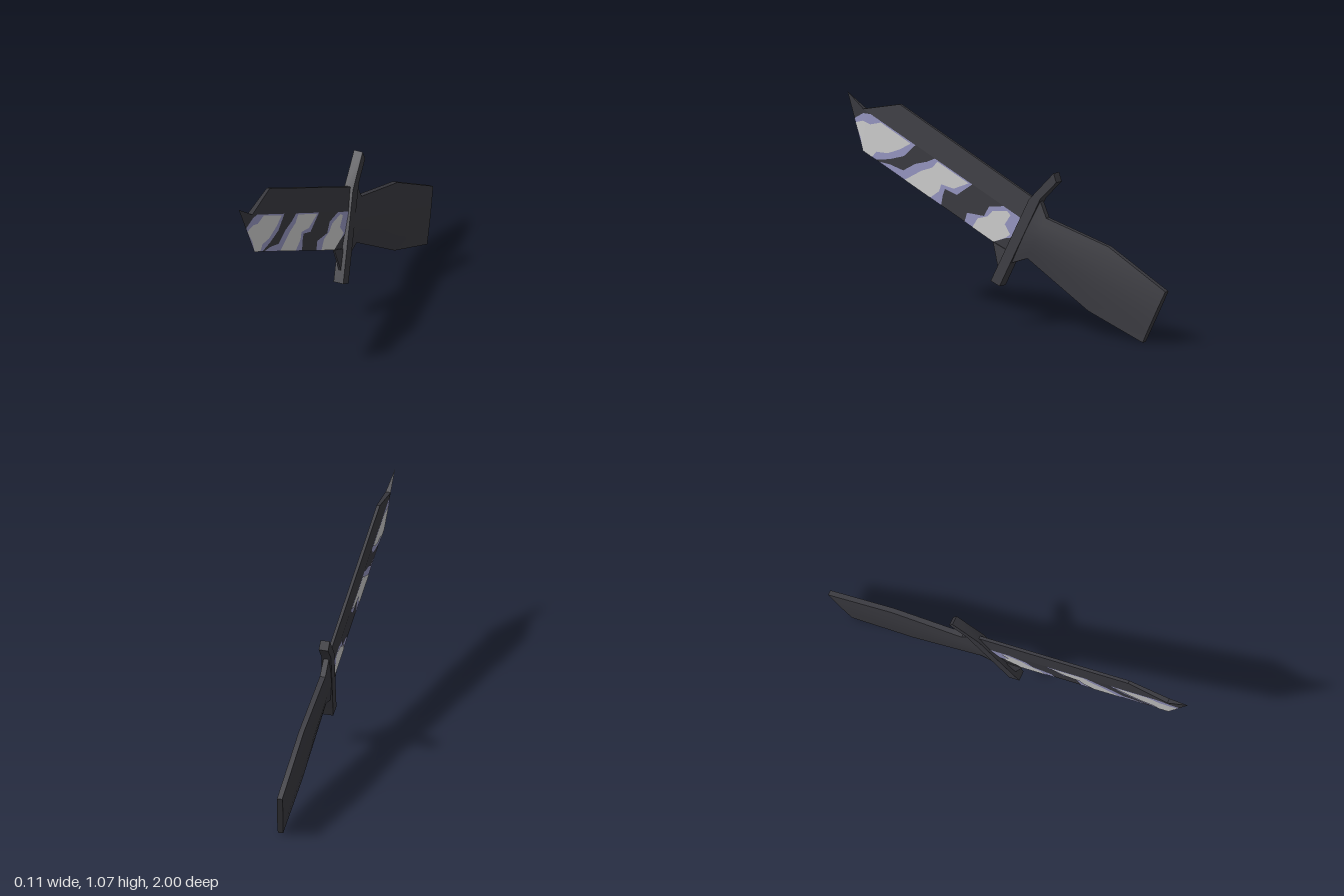
import * as THREE from 'three';
import { toCreasedNormals } from 'three/addons/utils/BufferGeometryUtils.js';

const material = (name, color) => {
  const m = new THREE.MeshStandardMaterial({ color });
  m.name = name;
  return m;
};

// The knife leans slightly sideways: x offset of its middle plane
const lean = (z, y) => 0.049 - 0.1 * y + 0.0102 * z;
const flat = (pts) => pts.map(([z, y]) => new THREE.Vector2(-z, y));

// Symmetric solid: faces are polygons of [z, y, halfThickness], repeated on both sides;
// the outline closes the rim between them.
function slab(name, mat, faces, outline = [], crease = 0.5) {
  const pos = [];
  const add = (side, [z, y, h]) => pos.push(lean(z, y) + side * h, y, z);
  for (const face of faces) {
    const f2 = flat(face);
    for (const tri of THREE.ShapeUtils.triangulateShape(f2, [])) {
      const ccw = THREE.ShapeUtils.area(tri.map((i) => f2[i])) > 0;
      const [a, b, c] = (ccw ? tri : [...tri].reverse()).map((i) => face[i]);
      [a, b, c].forEach((p) => add(1, p));
      [c, b, a].forEach((p) => add(-1, p));
    }
  }
  const rim = [...outline];
  if (rim.length && THREE.ShapeUtils.area(flat(rim)) < 0) rim.reverse();
  rim.forEach((a, i) => {
    const b = rim[(i + 1) % rim.length];
    if (a[2] > 0) { add(1, a); add(-1, a); add(-1, b); }
    if (b[2] > 0) { add(1, a); add(-1, b); add(1, b); }
  });
  const geo = new THREE.BufferGeometry();
  geo.setAttribute('position', new THREE.Float32BufferAttribute(pos, 3));
  geo.computeVertexNormals();
  const mesh = new THREE.Mesh(toCreasedNormals(geo, crease), mat);
  mesh.name = name;
  return mesh;
}

const mix = (a, b, t) => a.map((v, i) => v + (b[i] - v) * t);

// Cutting bevel: u runs from guard to point, v from cutting edge to ridge
const EDGE = [[0.066, 0.41, 0], [0.885, 0.785, 0]];
const RIDGE = [[-0.05, 0.57, 0.013], [0.89, 0.995, 0.013]];
const bevel = (u, v) => mix(mix(...EDGE, u), mix(...RIDGE, u), v);
const lift = (pts, d) => pts.map(([z, y, h]) => [z, y, h + d]);

export function createModel() {
  const dark = material('charcoal', 0x38383e);
  const lilac = material('lilac', 0x9292bc);
  const grey = material('pale grey', 0xc8c8c8);
  const knife = new THREE.Group();
  knife.name = 'knife';

  // Blade: cutting bevel, clipped point and back bevel
  const heel = bevel(-0.12, 0), heelRidge = bevel(-0.12, 1);
  const corner = EDGE[1], notch = RIDGE[1];
  const tip = [1, 1.07, 0];
  const spineBack = [-0.17, 0.65, 0.008], spineFront = [0.675, 1.038, 0.008];
  knife.add(slab('blade', dark, [
    [heel, corner, notch, heelRidge],
    [corner, tip, notch],
    [heelRidge, notch, spineFront, spineBack],
  ], [heel, corner, tip, notch, spineFront, spineBack, heelRidge], 0.1));

  // Blunt heel below the cutting edge
  const heelPlate = [[0.066, 0.41, 0.004], [0.02, 0.27, 0.006], [-0.04, 0.33, 0.008], [-0.04, 0.37, 0.006]];
  knife.add(slab('bladeHeel', dark, [heelPlate], heelPlate));

  // Camouflage patches as thin plates: lilac borders beneath pale centres
  const lilacPatches = [
    [[0, 0], [0.22, 0], [0.23, 0.25], [0.13, 0.45], [0.13, 0.75], [0.06, 1], [-0.09, 1], [-0.09, 0.45], [-0.05, 0.28]],
    [[0.4, 0], [0.88, 0], [0.8, 0.12], [0.7, 0.2], [0.63, 0.55], [0.56, 0.8], [0.52, 1], [0.27, 1], [0.33, 0.5], [0.41, 0.45], [0.41, 0.25]],
    [[1, 0], [0.9, 0], [0.8, 0.25], [0.71, 0.55], [0.65, 1], [0.95, 1], [1, 0.9]],
  ];
  const greyPatches = [
    [[0, 0], [0.16, 0], [0.155, 0.3], [0.11, 0.5], [0.1, 0.7], [0.03, 0.95], [0, 0.9], [0, 0.6], [-0.06, 0.45], [-0.05, 0.3]],
    [[0.484, 0], [0.68, 0], [0.58, 0.5], [0.52, 0.75], [0.5, 0.97], [0.29, 0.97], [0.36, 0.6], [0.44, 0.5], [0.44, 0.3]],
    [[1, 0], [0.93, 0], [0.9, 0.2], [0.82, 0.35], [0.74, 0.65], [0.68, 0.96], [0.88, 0.97], [0.95, 0.75], [1, 0.72]],
  ];
  const paint = (patches, front, d) =>
    [...patches.map((p) => p.map(([u, v]) => bevel(u, v))), front].map((p) => lift(p, d));
  knife.add(slab('camouflageBorders', lilac,
    paint(lilacPatches, [corner, mix(corner, tip, 0.55), bevel(1, 0.9)], 0.0015)));
  knife.add(slab('camouflageCentres', grey,
    paint(greyPatches, [corner, [0.902, 0.85, 0.001], mix(corner, tip, 0.48), bevel(1, 0.72)], 0.003)));

  // Cross guard with its upper end bent back
  const guard = [
    [0.05, 0.22, 0.027], [-0.005, 0.198, 0.027], [-0.22, 0.655, 0.025],
    [-0.31, 0.745, 0.024], [-0.29, 0.79, 0.024], [-0.15, 0.645, 0.025],
  ];
  knife.add(slab('guard', dark, [guard], guard));

  // Handle: lens-shaped sections from flared collar to flat butt [bottom, top, edge, middle]
  const sections = [
    [[-0.05, 0.315], [-0.205, 0.655], 0.014, 0.023],
    [[-0.155, 0.35], [-0.255, 0.56], 0.014, 0.024],
    [[-0.54, 0.125], [-0.64, 0.455], 0.013, 0.024],
    [[-0.88, 0], [-1, 0.265], 0.0135, 0.016],
  ];
  const STEPS = 6;
  const rows = sections.map(([b, t, e, m]) => Array.from({ length: STEPS + 1 }, (_, i) =>
    [...mix(b, t, i / STEPS), e + (m - e) * Math.sin((Math.PI * i) / STEPS)]));
  const faces = [];
  for (let s = 0; s < rows.length - 1; s++) {
    for (let i = 0; i < STEPS; i++) {
      faces.push([rows[s][i], rows[s + 1][i], rows[s + 1][i + 1], rows[s][i + 1]]);
    }
  }
  const handleRim = [
    ...rows.map((r) => r[0]),
    ...rows[3].slice(1, -1),
    ...rows.map((r) => r[STEPS]).reverse(),
    ...rows[0].slice(1, -1).reverse(),
  ];
  knife.add(slab('handle', dark, faces, handleRim));

  return knife;
}
